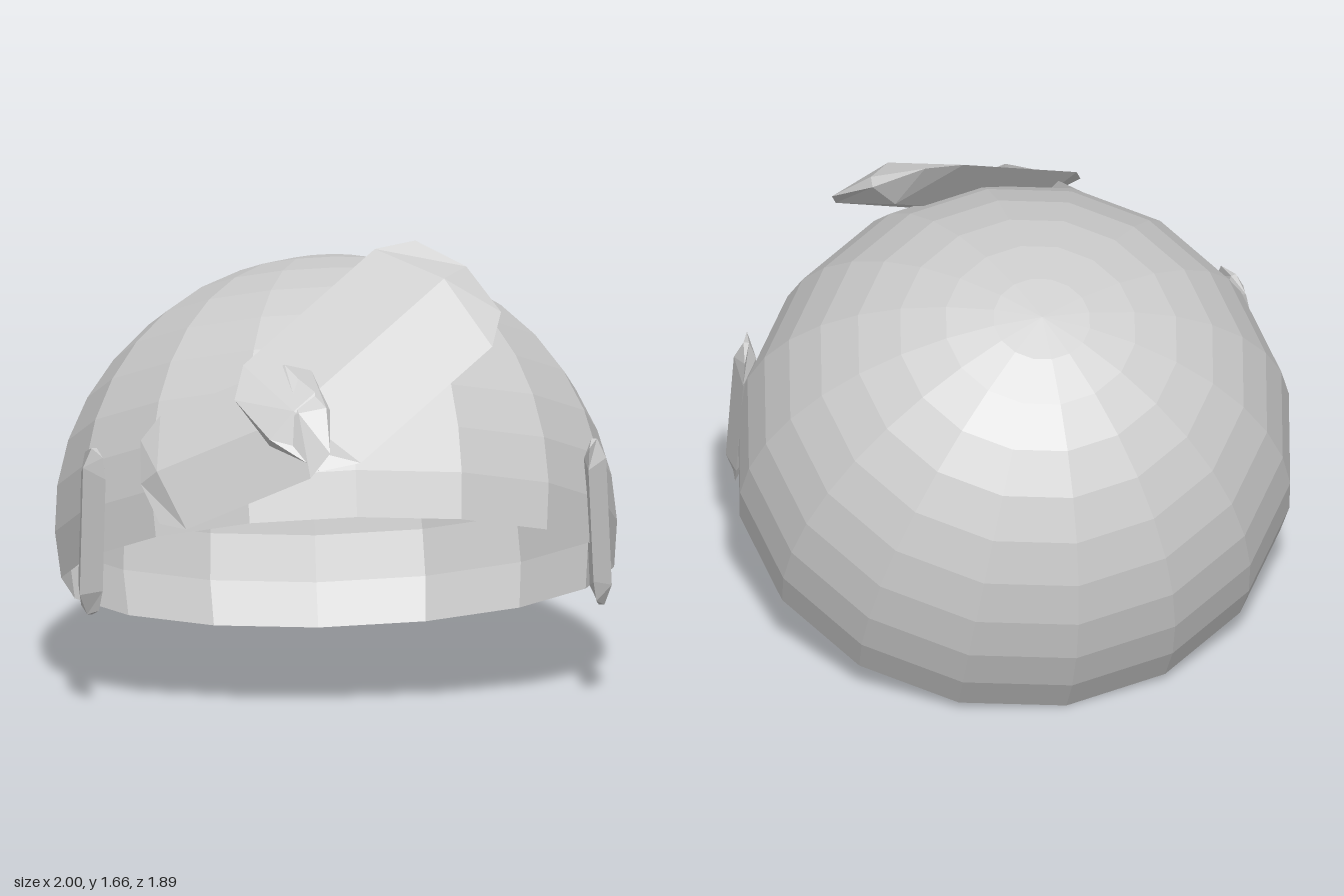
import * as THREE from 'three';

const hairGrey = new THREE.MeshStandardMaterial({ color: 0xcccccc, flatShading: true, side: THREE.DoubleSide });
hairGrey.name = 'hairGrey';

// Faceted lock: diamond cross-sections along y, ridge facing +z, blunt tapered ends
function lockGeometry(half, width, depth) {
  const ring = (side, ridge, w, d) => [
    [-w * width, side * half, 0], [0, ridge * half, d * depth],
    [w * width, side * half, 0], [0, ridge * half, -d * depth],
  ];
  const rings = [
    ring(-0.92, -1, 0.73, 0.25), ring(-0.67, -0.765, 1, 1),
    ring(0.67, 0.765, 1, 1), ring(0.92, 1, 0.73, 0.25),
  ];
  const index = [];
  for (let r = 0; r < 3; r++) {
    for (let i = 0; i < 4; i++) {
      const a = r * 4 + i, b = r * 4 + (i + 1) % 4;
      index.push(a, b, b + 4, a, b + 4, a + 4);
    }
  }
  // End faces, folded along the line between the two ridges
  index.push(1, 0, 3, 1, 3, 2, 12, 13, 15, 13, 14, 15);
  const geometry = new THREE.BufferGeometry();
  geometry.setAttribute('position', new THREE.Float32BufferAttribute(rings.flat(2), 3));
  geometry.setIndex(index);
  geometry.computeVertexNormals();
  return geometry;
}

// Places a lock by its centre, its long direction and the way its ridge faces
function lock(name, centre, along, out, half, width, depth) {
  const l = new THREE.Vector3(...along).normalize();
  const u = new THREE.Vector3().crossVectors(l, new THREE.Vector3(...out)).normalize();
  const n = new THREE.Vector3().crossVectors(u, l);
  const mesh = new THREE.Mesh(lockGeometry(half, width, depth), hairGrey);
  mesh.name = name;
  mesh.quaternion.setFromRotationMatrix(new THREE.Matrix4().makeBasis(u, l, n));
  mesh.position.set(...centre);
  return mesh;
}

export function createModel() {
  const model = new THREE.Group();
  model.name = 'hair';

  // Open dome, tilted back
  const cap = new THREE.Mesh(
    new THREE.SphereGeometry(1, 16, 10, 0, Math.PI * 2, 0, THREE.MathUtils.degToRad(100.4)), hairGrey);
  cap.name = 'hairCap';
  cap.scale.set(1, 0.96, 0.96);
  cap.rotation.x = THREE.MathUtils.degToRad(-25.75);
  cap.position.y = 0.57;
  model.add(cap);

  // Fringe
  model.add(lock('largeFringe', [0.065, 1.33, 0.595], [0.724, 0.487, -0.487], [0, 0.707, 0.707], 0.51, 0.286, 0.076));
  model.add(lock('smallFringe', [-0.415, 1.035, 0.71], [0.841, 0.429, 0.328], [-0.52, 0.47, 0.72], 0.38, 0.226, 0.06));

  // Sideburns
  for (const s of [1, -1]) {
    model.add(lock(s > 0 ? 'leftSideburn' : 'rightSideburn',
      [s * 0.9, 0.66, 0.395], [s * -0.035, 0.99, -0.12], [s * 0.96, 0, 0.28], 0.297, 0.122, 0.04));
  }
  return model;
}
